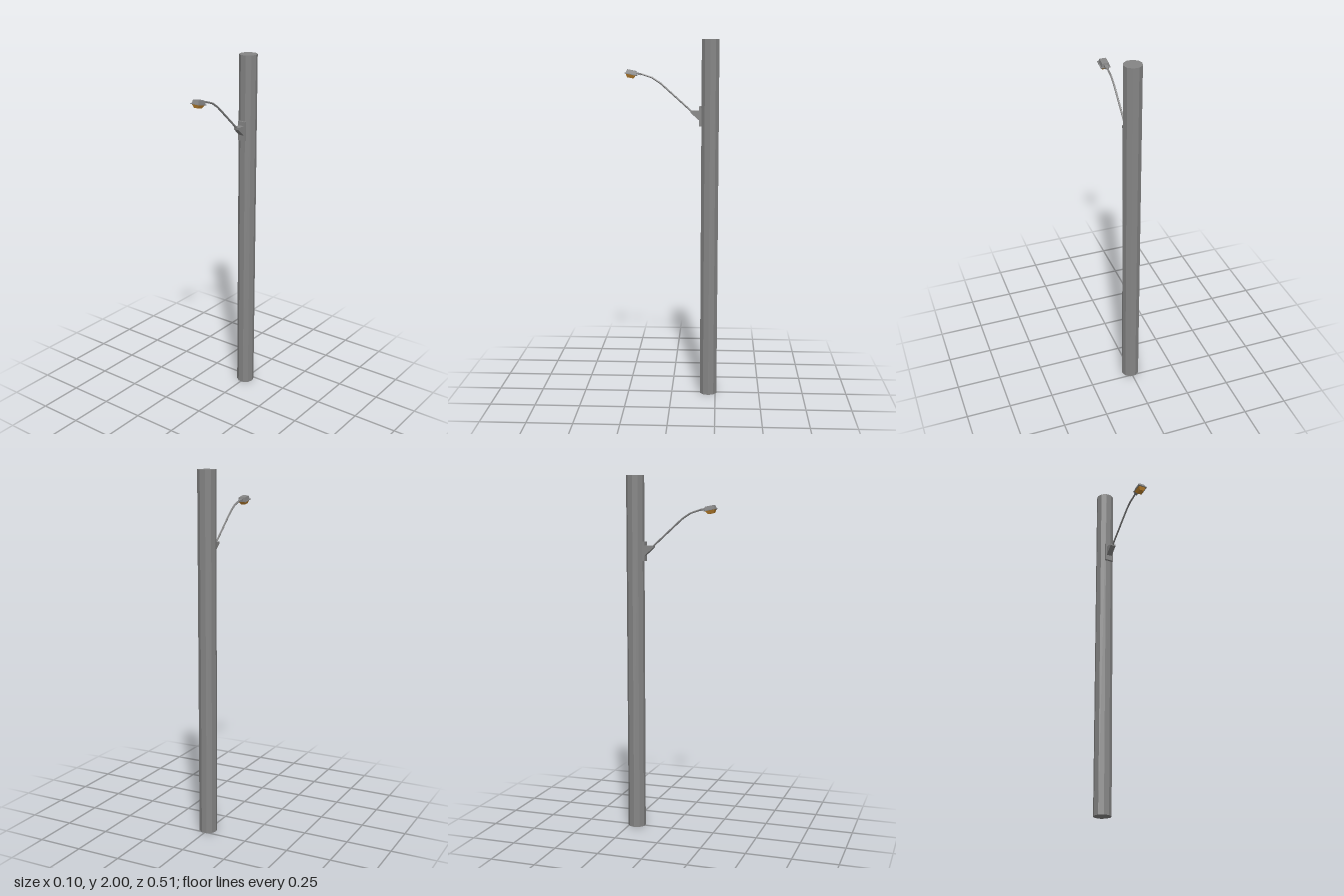
import * as THREE from 'three';

const grey = new THREE.MeshStandardMaterial({ color: 0x858585, flatShading: true });
grey.name = 'metal grey';
const amber = new THREE.MeshStandardMaterial({ color: 0xc8892f, flatShading: true });
amber.name = 'lens amber';

function add(parent, name, geometry, material, x = 0, y = 0, z = 0) {
  const mesh = new THREE.Mesh(geometry, material);
  mesh.name = name;
  mesh.position.set(x, y, z);
  parent.add(mesh);
  return mesh;
}

// Box whose top or bottom face is scaled in x and z
function taperedBox(w, h, d, top, bottom) {
  const g = new THREE.BoxGeometry(w, h, d);
  const p = g.attributes.position;
  for (let i = 0; i < p.count; i++) {
    const s = p.getY(i) > 0 ? top : bottom;
    p.setX(i, p.getX(i) * s);
    p.setZ(i, p.getZ(i) * s);
  }
  g.computeVertexNormals();
  return g;
}

export function createModel() {
  const model = new THREE.Group();
  model.name = 'streetLight';

  // Ten-sided pole with flat sides to front and back
  add(model, 'pole', new THREE.CylinderGeometry(0.05, 0.05, 2, 10, 1, false, Math.PI / 2), grey, 0, 1, -0.21);

  // Mounting plate and wedge bracket
  add(model, 'mountingPlate', new THREE.BoxGeometry(0.044, 0.108, 0.014), grey, 0, 1.586, -0.157);
  const wedge = new THREE.Shape([
    new THREE.Vector2(0.152, 1.617), new THREE.Vector2(0.152, 1.562),
    new THREE.Vector2(0.102, 1.606), new THREE.Vector2(0.102, 1.617),
  ]);
  const wedgeGeometry = new THREE.ExtrudeGeometry(wedge, { depth: 0.032, bevelEnabled: false });
  wedgeGeometry.translate(0, 0, -0.016);
  wedgeGeometry.rotateY(Math.PI / 2);
  add(model, 'bracket', wedgeGeometry, grey);

  // Bent arm: straight rise, then a shallow curve to the lamp
  const path = new THREE.CurvePath();
  const points = [[1.575, -0.15], [1.765, 0.062], [1.795, 0.108], [1.816, 0.172]]
    .map(([y, z]) => new THREE.Vector3(0, y, z));
  path.add(new THREE.LineCurve3(points[0], points[1]));
  path.add(new THREE.LineCurve3(points[1], points[2]));
  path.add(new THREE.LineCurve3(points[2], points[3]));
  add(model, 'arm', new THREE.TubeGeometry(path, 24, 0.0055, 6, false), grey);

  // Lamp head, tilted up at the front
  const head = new THREE.Group();
  head.name = 'lampHead';
  head.position.set(0, 1.813, 0.223);
  head.rotation.x = -0.2;
  model.add(head);
  add(head, 'rim', new THREE.BoxGeometry(0.054, 0.004, 0.066), grey);
  add(head, 'housing', taperedBox(0.044, 0.02, 0.058, 0.84, 1), grey, 0, 0.012, 0);
  add(head, 'socket', new THREE.BoxGeometry(0.018, 0.011, 0.036), grey, 0, 0.0105, -0.037);
  add(head, 'lens', taperedBox(0.044, 0.018, 0.054, 1, 0.6), amber, 0, -0.011, 0);

  return model;
}
